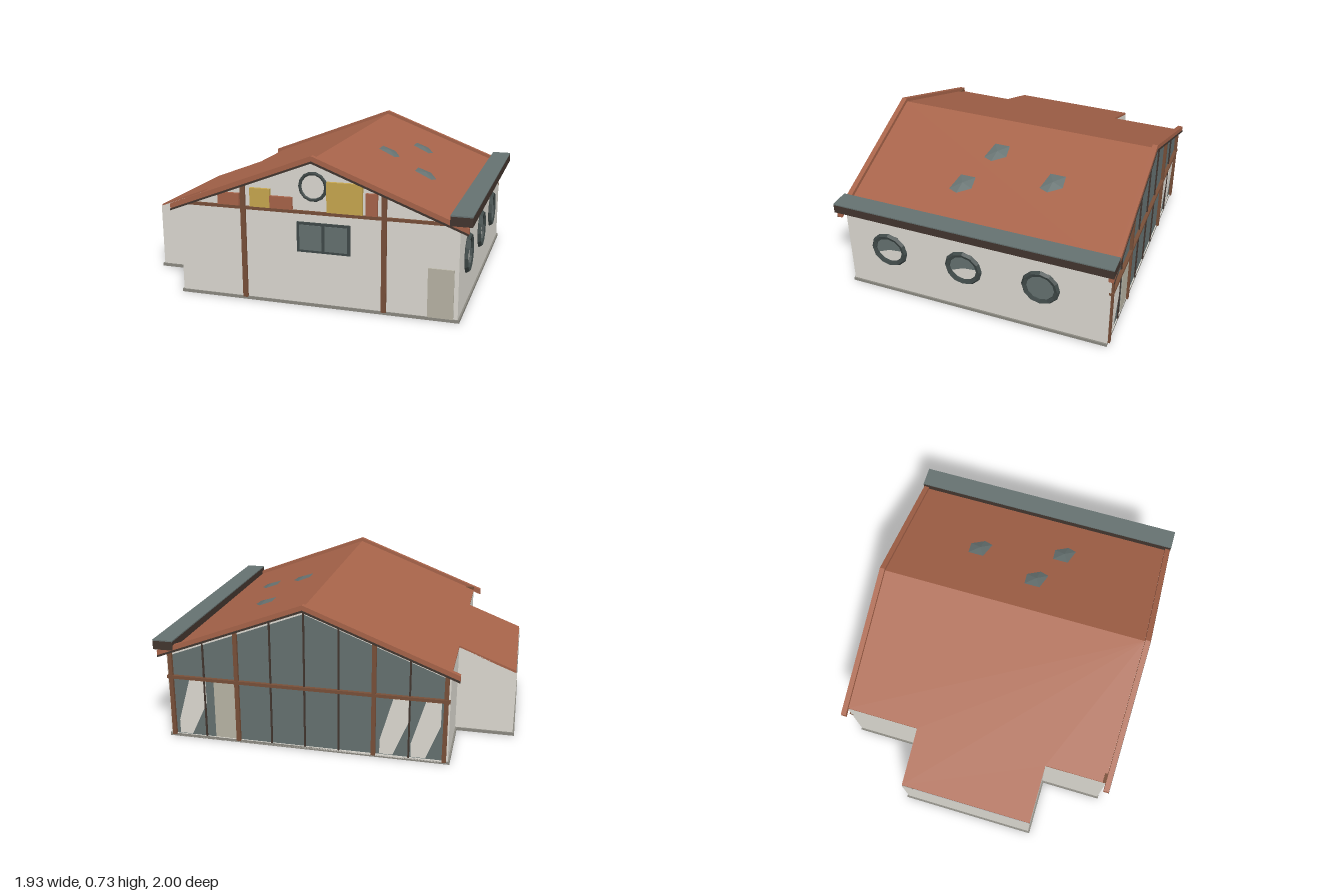
import * as THREE from 'three';

export function createModel() {
  const root = new THREE.Group();
  root.name = 'gableHouse';
  const house = new THREE.Group();
  house.name = 'house';
  house.rotation.y = 0.476;
  root.add(house);

  const mat = (name, color) => {
    const m = new THREE.MeshStandardMaterial({ color, side: THREE.DoubleSide });
    m.name = name;
    return m;
  };
  const white = mat('plaster', 0xdedbd3), tile = mat('roofTile', 0xa8644a);
  const glass = mat('glass', 0x667271), dark = mat('darkFrame', 0x404a49);
  const wood = mat('wood', 0x795039), fascia = mat('darkTimber', 0x43362f);
  const stone = mat('plinth', 0x8c8a82), yellow = mat('yellow', 0xc9a850);
  const beige = mat('door', 0xb9b5a6);

  const add = (name, geo, m, x = 0, y = 0, z = 0) => {
    const mesh = new THREE.Mesh(geo, m);
    mesh.name = name;
    mesh.position.set(x, y, z);
    house.add(mesh);
    return mesh;
  };
  const box = (name, m, x0, x1, y0, y1, z0, z1) => add(name,
    new THREE.BoxGeometry(x1 - x0, y1 - y0, z1 - z0), m, (x0 + x1) / 2, (y0 + y1) / 2, (z0 + z1) / 2);
  const shapeOf = pts => new THREE.Shape(pts.map(p => new THREE.Vector2(p[0], p[1])));

  const L = -0.697, R = 0.662, F = 0.685, B = -0.685, BACK = -0.97;
  const PITCH = 0.383, RIDGE = 0.715;
  const roofY = z => RIDGE - PITCH * Math.abs(z);

  // Flat panel drawn in (z, y), standing across the ridge at a given x
  const gablePanel = (name, m, x, shape, depth = 0.006) => {
    const geo = new THREE.ExtrudeGeometry(shape, { depth, bevelEnabled: false });
    geo.translate(0, 0, -depth / 2).rotateY(-Math.PI / 2);
    return add(name, geo, m, x, 0, 0);
  };
  const gableOutline = (drop, inset, bottom) => [[B + inset, bottom], [F - inset, bottom],
    [F - inset, roofY(F - inset) - drop], [0, RIDGE - drop], [B + inset, roofY(B + inset) - drop]];

  // Long walls and the back bay, following the roof slope
  const path = [[R, F], [L, F], [L, B], [-0.387, B], [-0.387, BACK], [0.292, BACK], [0.292, B], [R, B], [R, F]];
  path.slice(1).forEach(([x1, z1], i) => {
    const [x0, z0] = path[i];
    const isGable = Math.abs(z1 - z0) > 1;
    if (!isGable) {
      const geo = new THREE.BufferGeometry();
      geo.setAttribute('position', new THREE.Float32BufferAttribute([
        x0, 0, z0, x1, 0, z1, x1, roofY(z1) - 0.008, z1, x0, roofY(z0) - 0.008, z0], 3));
      geo.setIndex([0, 2, 1, 0, 3, 2]);
      geo.computeVertexNormals();
      add('wall', geo, white);
    }
    const e = 0.008;
    box('plinth', stone, Math.min(x0, x1) - e, Math.max(x0, x1) + e, 0, 0.015,
      Math.min(z0, z1) - e, Math.max(z0, z1) + e);
  });
  gablePanel('leftGableWall', white, L, shapeOf(gableOutline(0.01, 0, 0)));
  const frame = shapeOf(gableOutline(0.008, 0, 0));
  frame.holes.push(new THREE.Path(shapeOf(gableOutline(0.03, 0.016, 0.016)).getPoints()));
  gablePanel('rightGableFrame', white, R, frame, 0.016);
  gablePanel('glassGable', glass, R, shapeOf(gableOutline(0.03, 0.016, 0.016)));

  // Roof slopes: the back one runs on over the bay
  const slope = (name, pts) => {
    const geo = new THREE.ExtrudeGeometry(shapeOf(pts), { depth: 0.012, bevelEnabled: false });
    geo.rotateX(Math.PI / 2);
    const p = geo.attributes.position;
    for (let i = 0; i < p.count; i++) p.setY(i, p.getY(i) + roofY(p.getZ(i)));
    geo.computeVertexNormals();
    add(name, geo, tile);
  };
  slope('frontRoof', [[L, 0], [0.668, 0], [0.668, F], [L, F]]);
  slope('backRoof', [[L, 0], [L, B], [-0.387, B], [-0.387, BACK + 0.004], [0.292, BACK + 0.004],
    [0.292, B], [0.668, B], [0.668, 0]]);

  // Barge boards on both gables
  const barge = [[-0.725, roofY(0.725) + 0.018], [0, RIDGE + 0.018], [0.725, roofY(0.725) + 0.018],
    [0.725, roofY(0.725) - 0.012], [0, RIDGE - 0.012], [-0.725, roofY(0.725) - 0.012]];
  for (const x of [-0.711, 0.677]) {
    gablePanel('bargeBoard', tile, x, shapeOf(barge), 0.026);
    gablePanel('bargeTrim', fascia, x + Math.sign(x) * 0.014, shapeOf(barge.map(([z, y]) => [z, y - (y > roofY(z) ? 0.024 : 0.004)])), 0.004);
  }

  // Front eave box with a metal top
  box('eaveBox', fascia, -0.727, 0.693, 0.462, 0.505, 0.642, 0.742);
  box('eaveTop', glass, -0.727, 0.693, 0.505, 0.511, 0.642, 0.742);
  box('frontBeam', wood, L, R, 0.437, 0.447, F - 0.006, F + 0.012);

  // Portholes along the front wall
  [-0.471, -0.068, 0.331].forEach((x, i) => {
    const ring = add('portholeRing', new THREE.TorusGeometry(0.083, 0.015, 5, 12).toNonIndexed(), dark, x, 0.262, F + 0.003);
    ring.geometry.computeVertexNormals();
    const arc = i === 2 ? Math.PI * 2 : Math.PI * 1.1;
    add('portholeGlass', new THREE.CircleGeometry(0.08, 16, 0.1, arc), glass, x, 0.262, F + 0.005);
  });

  // Posts, mullions and beam of the glazed gable
  for (const z of [-0.667, -0.333, 0.333, 0.667])
    box('gablePost', wood, R - 0.006, R + 0.018, 0.012, roofY(z) - 0.01, z - 0.01, z + 0.01);
  for (const z of [-0.5, -0.165, 0, 0.165, 0.5])
    box('mullion', fascia, R - 0.006, R + 0.01, 0.015, roofY(z) - 0.02, z - 0.004, z + 0.004);
  box('gableBeam', wood, R - 0.006, R + 0.02, 0.312, 0.328, B, F);

  // Pale door leaf and slanted panels behind the lower panes
  box('glazedDoor', beige, R - 0.006, R + 0.007, 0.018, 0.307, 0.338, 0.452);
  [[0.639, 0.578, 0.494, 0.575], [-0.362, -0.423, -0.495, -0.425], [-0.51, -0.574, -0.646, -0.58]]
    .forEach(([a, b, c, d]) => gablePanel('slantedPanel', white, R + 0.003,
      shapeOf([[a, 0.02], [a, 0.09], [b, 0.305], [c, 0.305], [c, 0.19], [d, 0.02]])));

  // Left gable: posts, beam, window, door
  for (const z of [-0.35, 0.34])
    box('leftPost', wood, L - 0.014, L + 0.014, 0.012, roofY(z) - 0.01, z - 0.012, z + 0.012);
  box('leftBeam', wood, L - 0.014, L + 0.014, 0.455, 0.47, B, F);
  box('windowFrame', dark, L - 0.012, L + 0.012, 0.27, 0.415, -0.08, 0.18);
  for (const z of [-0.012, 0.112])
    box('windowPane', glass, L - 0.015, L + 0.015, 0.282, 0.403, z - 0.054, z + 0.054);
  box('door', beige, L - 0.01, L + 0.01, 0.015, 0.25, 0.545, 0.665);

  // Coloured blocks on the loft beam
  [[tile, -0.475, -0.366, 0.53], [yellow, -0.31, -0.21, 0.562], [tile, -0.21, -0.1, 0.53],
    [yellow, 0.07, 0.24, 0.615], [tile, 0.255, 0.31, 0.575]].forEach(([m, z0, z1, y]) =>
    box('loftBlock', m, L - 0.02, L + 0.02, 0.472, y, z0, z1));
  const loftRing = add('loftRing', new THREE.TorusGeometry(0.064, 0.01, 5, 14), dark, L, 0.585, 0);
  loftRing.rotation.y = Math.PI / 2;

  // Low faceted skylights on the front slope
  const rim = [[-0.03, -0.05], [0.05, -0.05], [0.055, 0.015], [-0.01, 0.055], [-0.055, 0.04]];
  for (const [x, z] of [[-0.083, 0.205], [0.255, 0.312], [-0.182, 0.418]]) {
    const at = ([a, b], h) => [x + a, roofY(z + b) + h, z + b];
    const pos = rim.flatMap((p, i) => [at(p, 0.003), at([0, 0], 0.012), at(rim[(i + 1) % rim.length], 0.003)].flat());
    const geo = new THREE.BufferGeometry();
    geo.setAttribute('position', new THREE.Float32BufferAttribute(pos, 3));
    geo.computeVertexNormals();
    // Outward faces point up
    if (geo.attributes.normal.getY(0) < 0) {
      const p = geo.attributes.position.array;
      for (let i = 0; i < p.length; i += 9)
        for (let k = 0; k < 3; k++) [p[i + k], p[i + 6 + k]] = [p[i + 6 + k], p[i + k]];
      geo.computeVertexNormals();
    }
    add('skylight', geo, glass);
  }
  return root;
}
